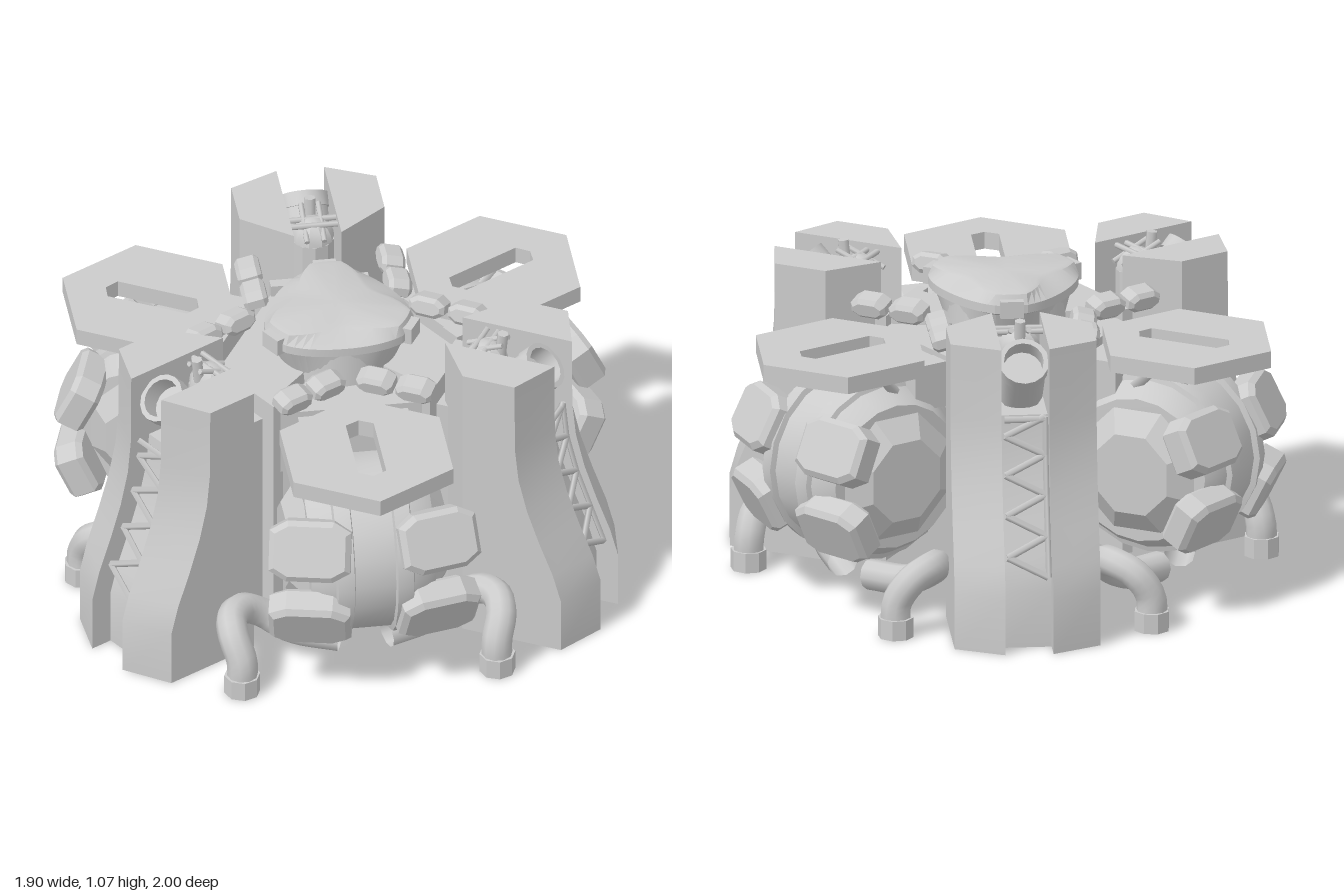
import * as THREE from 'three';
import { toCreasedNormals } from 'three/addons/utils/BufferGeometryUtils.js';

const mat = new THREE.MeshStandardMaterial({ color: 0xcccccc, side: THREE.DoubleSide });
const V = (x, y, z) => new THREE.Vector3(x, y, z);

function add(parent, name, geo, x = 0, y = 0, z = 0) {
  const m = new THREE.Mesh(geo, mat);
  m.name = name;
  m.position.set(x, y, z);
  parent.add(m);
  return m;
}
const box = (parent, name, w, h, d, x, y, z) => add(parent, name, new THREE.BoxGeometry(w, h, d), x, y, z);
const lathe = (pts, sides) => new THREE.LatheGeometry(pts.map(q => new THREE.Vector2(...q)), sides);

// solid through horizontal rings { y, pts: [[x, z], ...] }, corners counter-clockwise from above
function loft(rings, crease = 0.5, closedBelow = true) {
  const out = [], n = rings[0].pts.length;
  const p = (r, i) => [r.pts[i % n][0], r.y, r.pts[i % n][1]];
  const mid = r => [r.pts.reduce((a, q) => a + q[0], 0) / n, r.y, r.pts.reduce((a, q) => a + q[1], 0) / n];
  const lo = rings[0], hi = rings[rings.length - 1];
  for (let i = 0; i < n; i++) {
    for (let k = 0; k + 1 < rings.length; k++) {
      const a = rings[k], b = rings[k + 1];
      out.push(...p(a, i), ...p(a, i + 1), ...p(b, i + 1), ...p(a, i), ...p(b, i + 1), ...p(b, i));
    }
    out.push(...mid(hi), ...p(hi, i), ...p(hi, i + 1));
    if (closedBelow) out.push(...mid(lo), ...p(lo, i + 1), ...p(lo, i));
  }
  const g = new THREE.BufferGeometry();
  g.setAttribute('position', new THREE.Float32BufferAttribute(out, 3));
  return toCreasedNormals(g, crease);
}

// straight bar between two points
function bar(parent, name, a, b, r, sides = 6) {
  const d = b.clone().sub(a);
  const m = add(parent, name, new THREE.CylinderGeometry(r, r, d.length(), sides));
  m.position.copy(a).addScaledVector(d, 0.5);
  m.quaternion.setFromUnitVectors(V(0, 1, 0), d.normalize());
}

// flat block with cut corners, facing +z
function cutBlock(w, h, d, cx, cy) {
  const s = new THREE.Shape([[-w + cx, -h], [w - cx, -h], [w, -h + cy], [w, h - cy], [w - cx, h], [-w + cx, h], [-w, h - cy], [-w, -h + cy]]
    .map(q => new THREE.Vector2(...q)));
  const b = d * 0.2;
  return new THREE.ExtrudeGeometry(s, { depth: d - b, bevelEnabled: true, bevelThickness: b, bevelSize: b, bevelOffset: -b, bevelSegments: 1 });
}

// front edge of the tower: height -> depth
const FRONT = [[0, 1], [0.2, 1], [0.3, 0.97], [0.42, 0.92], [0.54, 0.876], [0.66, 0.845], [0.78, 0.832], [1.04, 0.83]];
function frontAt(y) {
  const i = FRONT.findIndex(q => y <= q[0]);
  const [y0, f0] = FRONT[i - 1], [y1, f1] = FRONT[i];
  return f0 + (f1 - f0) * (y - y0) / (y1 - y0);
}

function makeTower() {
  const g = new THREE.Group();
  g.name = 'tower';
  // two flared side walls, hollow below
  for (const s of [1, -1]) {
    const rings = FRONT.map(([y, f]) => {
      const pts = [[0.082, f], [0.25, f - 0.08], [0.25, 0.56], [0.082, 0.43]].map(([x, z]) => [x * s, z]);
      return { y, pts: s > 0 ? pts : pts.reverse() };
    });
    add(g, 'towerWall', loft(rings, 0.5, false));
  }
  // recessed channel between the walls
  const channel = FRONT.slice(0, 7).map(([y, f]) =>
    ({ y, pts: [[-0.085, f - 0.08], [0.085, f - 0.08], [0.085, 0.43], [-0.085, 0.43]] }));
  add(g, 'channel', loft(channel, 0.5, false));
  // cross walls inside the base
  for (const z of [0.56, 0.65, 0.74, 0.83]) box(g, 'baseFin', 0.49, 0.2, 0.01, 0, 0.1, z);
  // zigzag truss in the channel
  const tp = (x, y) => V(x, y, frontAt(y) - 0.03);
  const y0 = 0.26, step = 0.132;
  for (let i = 0; i < 4; i++) {
    const a = y0 + i * step, b = a + step;
    bar(g, 'trussDiagonal', tp(0.068, a), tp(-0.068, a + step / 2), 0.012, 4);
    bar(g, 'trussDiagonal', tp(-0.068, a + step / 2), tp(0.068, b), 0.012, 4);
    bar(g, 'trussRail', tp(0.07, a), tp(0.07, b), 0.01, 4);
  }
  bar(g, 'trussRung', tp(-0.07, 0.78), tp(0.07, 0.78), 0.012, 4);
  // tilted exhaust tube with a hollow mouth
  const tube = lathe([[0, 0], [0.08, 0], [0.08, 0.17], [0.086, 0.17], [0.086, 0.22], [0.068, 0.22], [0.068, 0.15], [0, 0.15]], 16);
  add(g, 'exhaustTube', toCreasedNormals(tube, 0.6), 0, 0.822, 0.61).rotation.x = Math.PI / 4;
  // caged valve behind the tube
  add(g, 'valveDome', toCreasedNormals(new THREE.SphereGeometry(0.075, 10, 5, 0, Math.PI * 2, 0, Math.PI / 2), 0.4), 0, 0.95, 0.55);
  add(g, 'valveBody', toCreasedNormals(new THREE.CylinderGeometry(0.075, 0.075, 0.2, 10), 0.4), 0, 0.85, 0.55);
  for (const z of [0.52, 0.56]) bar(g, 'cageRail', V(-0.085, 1.015, z), V(0.085, 1.015, z), 0.01);
  for (const x of [-0.03, 0.03]) bar(g, 'cageRail', V(x, 0.98, 0.47), V(x, 1.04, 0.62), 0.01);
  bar(g, 'valveStem', V(0, 0.98, 0.6), V(0, 1.07, 0.61), 0.02);
  // upright slab at the back and arm to the core
  box(g, 'backSlab', 0.34, 0.88, 0.04, 0, 0.44, 0.39);
  box(g, 'slabLink', 0.22, 0.8, 0.06, 0, 0.4, 0.43);
  const arm = (y, e) => ({ y, pts: [[-0.13, 0.38], [0.13, 0.38], [0.07 + e, 0.2], [-0.07 - e, 0.2]] });
  add(g, 'coreArm', loft([arm(0.7, 0.03), arm(0.88, 0)]));
  box(g, 'lidTab', 0.08, 0.06, 0.05, 0, 1.0, 0.265);
  return g;
}

function makeTank() {
  const g = new THREE.Group();
  g.name = 'tank';
  const cy = 0.48, cz = 0.6;
  // barrel lying across, with stepped bands
  const half = [[0.305, 0.07], [0.325, 0.075], [0.318, 0.13], [0.3, 0.135], [0.28, 0.18], [0.255, 0.215], [0, 0.216]];
  const body = lathe([...half.map(([r, x]) => [r, -x]).reverse(), ...half], 20);
  add(g, 'tankBody', toCreasedNormals(body, 0.4), 0, cy, cz).rotation.z = Math.PI / 2;
  // eight-sided stepped ends
  const ends = lathe([[0, -0.275], [0.15, -0.275], [0.245, -0.205], [0.245, 0.205], [0.15, 0.275], [0, 0.275]], 8);
  add(g, 'octagonEnds', toCreasedNormals(ends, 0.1), 0, cy, cz).rotation.set(Math.PI / 8, 0, Math.PI / 2);
  // armour plates on the outer side
  for (const s of [1, -1]) for (const u of [1, -1]) {
    const d = V(0.2 * s, 0.44 * u, 0.88).normalize();
    const m = add(g, 'armourPlate', cutBlock(0.14, 0.105, 0.09, 0.06, 0.035));
    m.position.set(0.21 * s, cy + 0.12 * u, cz + 0.215);
    m.lookAt(m.position.clone().add(d));
  }
  // hexagonal roof with a long slot
  const roof = new THREE.Shape(Array.from({ length: 6 }, (_, i) =>
    new THREE.Vector2(0.318 * Math.sin(i * Math.PI / 3), 0.685 + 0.318 * Math.cos(i * Math.PI / 3))));
  roof.holes.push(new THREE.Path([[-0.048, 0.53], [0, 0.505], [0.048, 0.53], [0.048, 0.82], [0, 0.845], [-0.048, 0.82]]
    .map(q => new THREE.Vector2(...q))));
  const roofGeo = new THREE.ExtrudeGeometry(roof, { depth: 0.06, bevelEnabled: false });
  roofGeo.rotateX(Math.PI / 2);
  add(g, 'hexRoof', roofGeo, 0, 0.9, 0);
  box(g, 'roofNeck', 0.3, 0.16, 0.12, 0, 0.765, 0.44);
  for (const s of [1, -1]) {
    // roof supports
    box(g, 'roofBracket', 0.08, 0.16, 0.13, 0.15 * s, 0.765, 0.44);
    bar(g, 'roofStrut', V(0.09 * s, 0.73, 0.64), V(0.1 * s, 0.85, 0.82), 0.018, 4);
    bar(g, 'roofStrut', V(0.13 * s, 0.72, 0.52), V(0.2 * s, 0.85, 0.66), 0.018, 4);
    // clamps along the inner roof edge
    for (const [x, z] of [[0.075, 0.36], [0.2, 0.43]]) {
      const c = add(g, 'clamp', cutBlock(0.065, 0.036, 0.07, 0.03, 0.02), x * s, 0.935, z);
      c.rotation.set(-0.25, (Math.PI - 0.5) * s, 0, 'YXZ');
    }
    // curled drain pipe with foot
    const path = new THREE.CatmullRomCurve3([V(0.44, 0.03, 0.76), V(0.44, 0.12, 0.755), V(0.462, 0.195, 0.71), V(0.458, 0.222, 0.64),
      V(0.41, 0.212, 0.57), V(0.335, 0.165, 0.54), V(0.24, 0.11, 0.565), V(0.08, 0.095, 0.62)].map(v => v.multiply(V(s, 1, 1))));
    add(g, 'drainPipe', new THREE.TubeGeometry(path, 28, 0.053, 10));
    add(g, 'pipeFoot', toCreasedNormals(new THREE.CylinderGeometry(0.062, 0.062, 0.07, 8), 0.3), 0.44 * s, 0.035, 0.76);
  }
  return g;
}

function makeCore() {
  const g = new THREE.Group();
  g.name = 'core';
  add(g, 'coreDrum', toCreasedNormals(new THREE.CylinderGeometry(0.2, 0.23, 0.48, 24), 0.6), 0, 0.74, 0);
  // six-sided deck joining the slabs
  const deck = [];
  for (let i = 0; i < 3; i++) for (const x of [-0.17, 0.17]) {
    const v = V(x, 0, 0.38).applyAxisAngle(V(0, 1, 0), i * Math.PI * 2 / 3);
    deck.push([v.x, v.z]);
  }
  add(g, 'deck', loft([{ y: 0.6, pts: deck }, { y: 0.84, pts: deck }]));
  // three-cornered lid, hollowed on top and rounded at the rim
  const ring = (y, corner, side) => ({
    y, pts: Array.from({ length: 60 }, (_, i) => {
      const a = i * Math.PI / 30, off = Math.abs(((i + 10) % 20) - 10) / 10;
      const k = Math.sin(Math.max(0, (off - 0.2) / 0.8) * Math.PI / 2);
      const r = corner + (side - corner) * k;
      return [r * Math.sin(a), r * Math.cos(a)];
    })
  });
  add(g, 'lid', loft([ring(0.85, 0.2, 0.19), ring(0.97, 0.25, 0.2), ring(0.98, 0.27, 0.23), ring(1.01, 0.27, 0.23),
    ring(1.045, 0.255, 0.15), ring(1.05, 0.235, 0.13)], 0.35));
  return g;
}

export function createModel() {
  const model = new THREE.Group();
  model.name = 'reactorBuilding';
  model.add(makeCore());
  for (let i = 0; i < 3; i++) {
    const tower = makeTower(), tank = makeTank();
    tower.rotation.y = i * Math.PI * 2 / 3;
    tank.rotation.y = Math.PI / 3 + i * Math.PI * 2 / 3;
    model.add(tower, tank);
  }
  return model;
}
